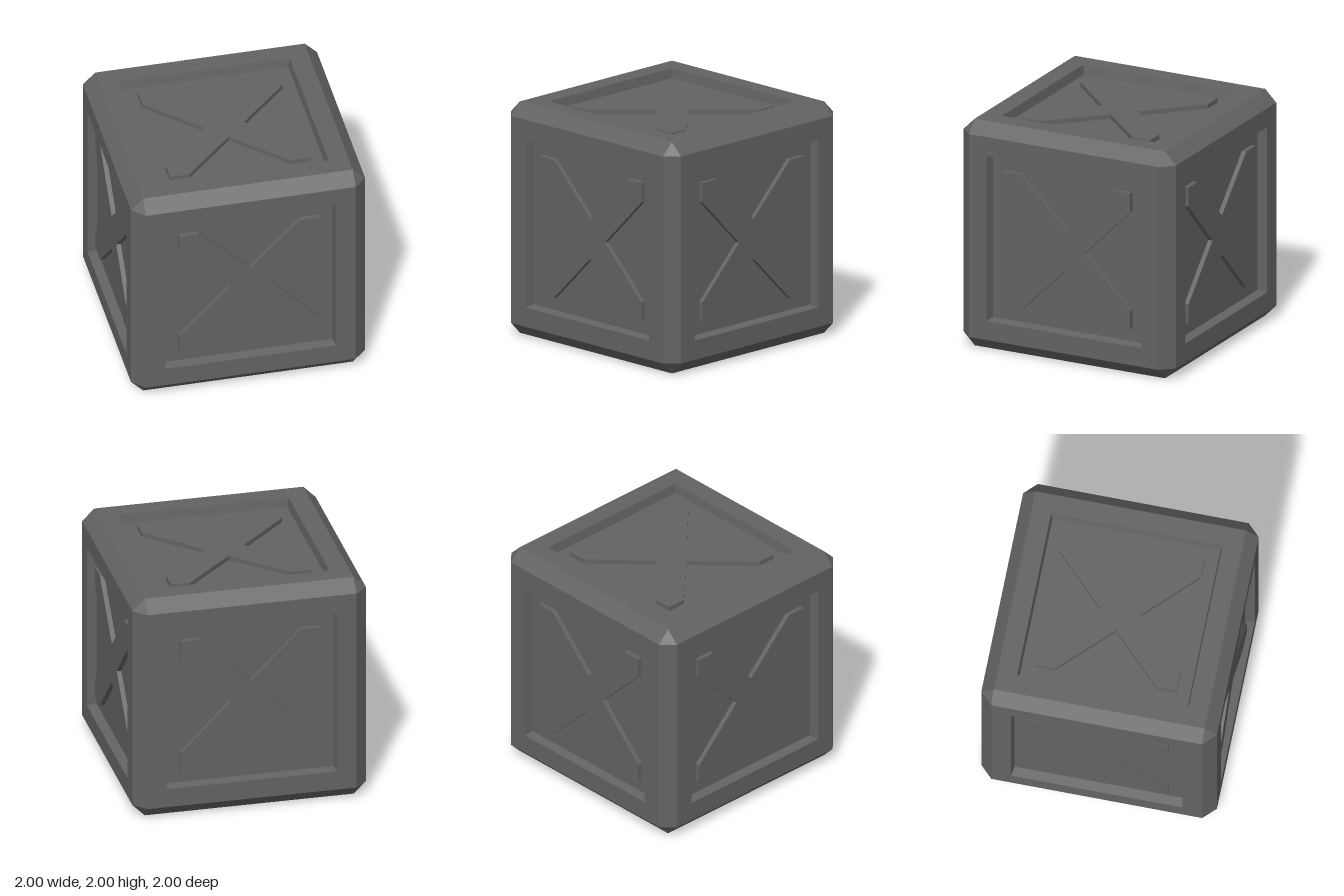
import * as THREE from 'three';

const IN = 0.895;          // where the chamfer starts
const RIM = 0.728;         // recess opening half size
const FLOOR = 0.713;       // recess floor half size
const DEPTH = 0.08;        // recess depth
const EMBOSS = 0.04;       // height of the raised cross
const Q = Math.PI / 2;

const crateGrey = new THREE.MeshStandardMaterial({ color: 0x636363 });
crateGrey.name = 'crateGrey';

function part(geometry, name) {
  const mesh = new THREE.Mesh(geometry, crateGrey);
  mesh.name = name;
  return mesh;
}

const square = h => [[-h, -h], [h, -h], [h, h], [-h, h]].map(p => new THREE.Vector2(...p));

// Cross outline: one arm repeated in four quarter turns
function crossShape() {
  const pts = [];
  for (let i = 0; i < 4; i++) {
    for (const [x, y] of [[0.17, 0], [0.6, 0.433], [0.6, 0.6], [0.433, 0.6]]) {
      pts.push(new THREE.Vector2(x, y).rotateAround(new THREE.Vector2(), i * Q));
    }
  }
  return new THREE.Shape(pts);
}

// Square frame around the recess
function frameGeometry() {
  const shape = new THREE.Shape(square(IN));
  shape.holes.push(new THREE.Path(square(RIM).reverse()));
  return new THREE.ShapeGeometry(shape).translate(0, 0, 1);
}

// Slightly tapered recess walls, mirrored so they face inward
function wallGeometry() {
  const g = new THREE.CylinderGeometry(RIM * Math.SQRT2, FLOOR * Math.SQRT2, DEPTH, 4, 1, true, Math.PI / 4)
    .scale(-1, 1, 1).rotateX(Q).translate(0, 0, 1 - DEPTH / 2).toNonIndexed();
  g.computeVertexNormals();
  return g;
}

// Corner cut joining three chamfers
function cornerGeometry() {
  const g = new THREE.BufferGeometry();
  g.setAttribute('position', new THREE.Float32BufferAttribute([1, IN, IN, IN, 1, IN, IN, IN, 1], 3));
  g.computeVertexNormals();
  return g;
}

export function createModel() {
  const model = new THREE.Group();
  model.name = 'crate';
  const body = new THREE.Group();
  body.name = 'crateBody';
  body.position.y = 1;
  model.add(body);

  // Six identical panelled sides
  const frame = frameGeometry();
  const walls = wallGeometry();
  const floor = new THREE.PlaneGeometry(2 * FLOOR, 2 * FLOOR).translate(0, 0, 1 - DEPTH);
  const cross = new THREE.ExtrudeGeometry(crossShape(), { depth: EMBOSS, bevelEnabled: false })
    .translate(0, 0, 1 - DEPTH);
  const sides = {
    front: [0, 0], left: [0, Q], back: [0, 2 * Q], right: [0, -Q], top: [-Q, 0], bottom: [Q, 0],
  };
  for (const [name, [rx, ry]] of Object.entries(sides)) {
    const side = new THREE.Group();
    side.name = name + 'Side';
    side.rotation.set(rx, ry, 0);
    side.add(part(frame, 'frame'), part(walls, 'recessWalls'),
      part(floor, 'recessPanel'), part(cross, 'raisedCross'));
    body.add(side);
  }

  // Twelve chamfered edges: four around each axis
  const mid = (1 + IN) / 2;
  for (let i = 0; i < 4; i++) {
    const strip = () => new THREE.PlaneGeometry(2 * IN, (1 - IN) * Math.SQRT2)
      .rotateX(-Math.PI / 4).translate(0, mid, mid).rotateX(i * Q);
    body.add(part(strip(), 'edgeAlongX'),
      part(strip().rotateZ(Q), 'edgeAlongY'),
      part(strip().rotateY(Q), 'edgeAlongZ'));
  }

  // Eight corner cuts
  for (let i = 0; i < 4; i++) {
    body.add(part(cornerGeometry().rotateY(i * Q), 'topCorner'),
      part(cornerGeometry().rotateX(Math.PI).rotateY(i * Q), 'bottomCorner'));
  }
  return model;
}
